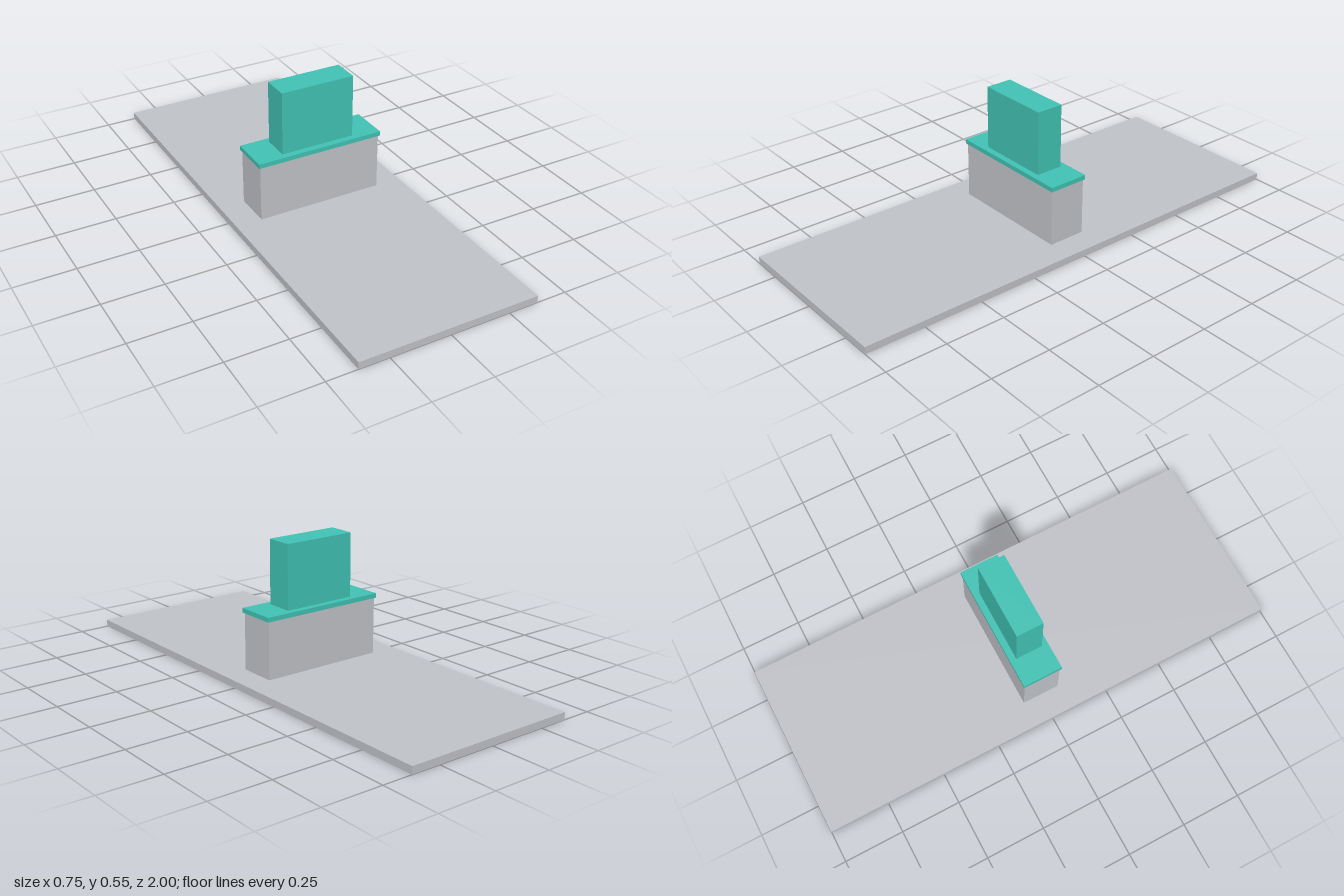
import * as THREE from 'three';

export function createModel() {
  const model = new THREE.Group();
  model.name = 'monument';

  const stone = new THREE.MeshStandardMaterial({ color: 0xc0c3c8 });
  stone.name = 'pale grey stone';
  const teal = new THREE.MeshStandardMaterial({ color: 0x41c2b4 });
  teal.name = 'teal';

  // Centred block spanning bottom to top in height
  function addBlock(name, width, depth, bottom, top, material) {
    const mesh = new THREE.Mesh(new THREE.BoxGeometry(width, top - bottom, depth), material);
    mesh.name = name;
    mesh.position.y = (bottom + top) / 2;
    model.add(mesh);
  }

  addBlock('groundSlab', 0.748, 2, 0, 0.03, stone);
  addBlock('plinth', 0.531, 0.157, 0.03, 0.266, stone);
  addBlock('plinthCap', 0.544, 0.168, 0.266, 0.285, teal);
  addBlock('uprightBlock', 0.314, 0.114, 0.285, 0.55, teal);

  return model;
}
